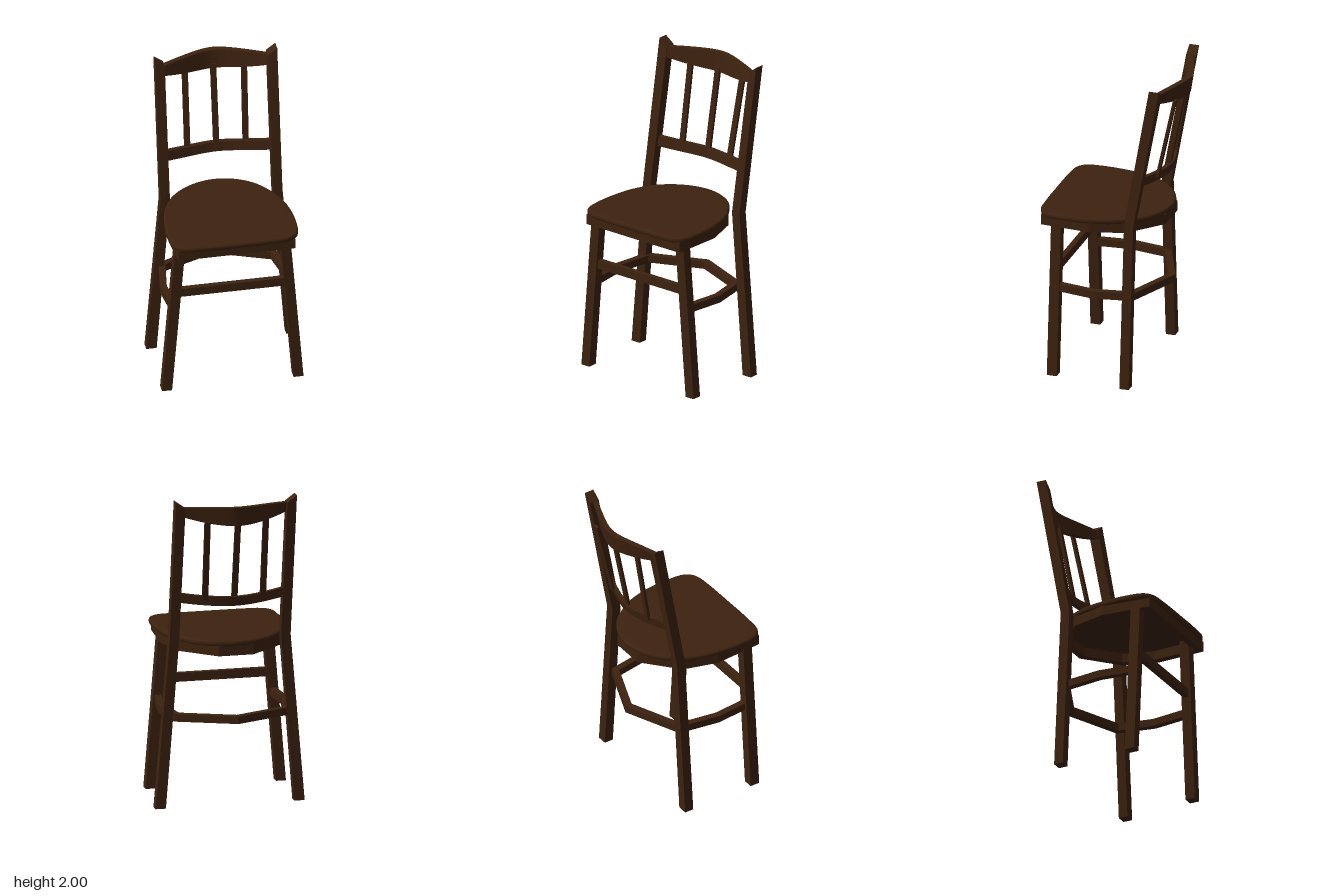
import * as THREE from 'three';
import { toCreasedNormals } from 'three/addons/utils/BufferGeometryUtils.js';

const wood = new THREE.MeshStandardMaterial({ color: 0x3d220f });
wood.name = 'dark wood';

// Solid skin through a list of four-cornered cross-sections, capped at both ends
function loft(rings) {
  const pos = [];
  const quad = (a, b, c, d) => pos.push(...a, ...b, ...c, ...a, ...c, ...d);
  for (let k = 0; k < rings.length - 1; k++) {
    const r = rings[k], s = rings[k + 1];
    for (let i = 0; i < 4; i++) {
      const j = (i + 1) % 4;
      quad(r[i], r[j], s[j], s[i]);
    }
  }
  const first = rings[0], last = rings[rings.length - 1];
  quad(first[3], first[2], first[1], first[0]);
  quad(last[0], last[1], last[2], last[3]);
  const g = new THREE.BufferGeometry();
  g.setAttribute('position', new THREE.Float32BufferAttribute(pos, 3));
  g.computeVertexNormals();
  return toCreasedNormals(g, 0.4);
}

// Horizontal cross-section; slope raises the +x edge and lowers the -x edge
function level(x, y, z, w, d, slope = 0) {
  return [[-1, 1], [1, 1], [1, -1], [-1, -1]].map(([sx, sz]) =>
    [x + sx * w / 2, y + sx * slope, z + sz * d / 2]);
}

// Bowed rail running along x, leaning back towards its top
function bowedRail({ z, bottom, top, thick, lean }) {
  const rings = [], n = 24, end = 0.335;
  for (let i = 0; i <= n; i++) {
    const x = -end + (2 * end * i) / n, u = (x / end) ** 2;
    const zt = z(x), zb = zt + lean, h = thick / 2;
    rings.push([[x, bottom(u), zb + h], [x, bottom(u), zb - h],
      [x, top(u), zt - h], [x, top(u), zt + h]]);
  }
  return loft(rings);
}

// Mitred square bar following a flat path of [x, z] points
function bar(path, y0, y1, width) {
  const pts = path.map(p => new THREE.Vector2(...p));
  const normal = (a, b) => {
    const d = b.clone().sub(a).normalize();
    return new THREE.Vector2(-d.y, d.x);
  };
  return loft(pts.map((p, i) => {
    const n0 = normal(pts[Math.max(i - 1, 0)], pts[Math.max(i, 1)]);
    const last = pts.length - 1;
    const n1 = normal(pts[Math.min(i, last - 1)], pts[Math.min(i + 1, last)]);
    const m = n0.clone().add(n1).normalize();
    m.multiplyScalar(width / 2 / m.dot(n0));
    return [[p.x + m.x, y0, p.y + m.y], [p.x - m.x, y0, p.y - m.y],
      [p.x - m.x, y1, p.y - m.y], [p.x + m.x, y1, p.y + m.y]];
  }));
}

export function createModel() {
  const chair = new THREE.Group();
  chair.name = 'chair';
  const add = (name, geometry) => {
    const mesh = new THREE.Mesh(geometry, wood);
    mesh.name = name;
    chair.add(mesh);
    return mesh;
  };

  // Seat board with rounded edge
  const b = 0.012;
  const outline = [
    [0, 0.447], [0.2, 0.445], [0.32, 0.432], [0.375, 0.385], [0.393, 0.27], [0.387, 0.12],
    [0.357, -0.02], [0.3, -0.135], [0.22, -0.235], [0.11, -0.3], [-0.01, -0.322],
    [-0.13, -0.3], [-0.245, -0.235], [-0.33, -0.14], [-0.385, -0.02], [-0.412, 0.12],
    [-0.42, 0.27], [-0.403, 0.385], [-0.35, 0.432], [-0.23, 0.445],
  ].map(([x, z]) => new THREE.Vector3(x, -z, 0));
  const curve = new THREE.CatmullRomCurve3(outline, true);
  const seatShape = new THREE.Shape(curve.getPoints(80).slice(0, 80).map(p => new THREE.Vector2(p.x, p.y)));
  const seat = new THREE.ExtrudeGeometry(seatShape, {
    depth: 0.035 - 2 * b, bevelEnabled: true, bevelThickness: b, bevelSize: b, bevelOffset: -b, bevelSegments: 3,
  });
  seat.rotateX(-Math.PI / 2).translate(0, 1.045 + b, 0);
  add('seat', toCreasedNormals(seat, 0.6));

  // Faceted apron ring under the seat
  const ring = [
    [0.355, 0.42], [0.375, 0.1], [0.31, -0.12], [0.1, -0.31], [-0.12, -0.31],
    [-0.34, -0.12], [-0.405, 0.1], [-0.385, 0.42],
  ];
  const apronShape = new THREE.Shape(ring.map(([x, z]) => new THREE.Vector2(x, -z)));
  apronShape.holes.push(new THREE.Path(ring.map(([x, z]) =>
    new THREE.Vector2(-0.015 + (x + 0.015) * 0.88, -(0.06 + (z - 0.06) * 0.88)))));
  const apron = new THREE.ExtrudeGeometry(apronShape, { depth: 0.065, bevelEnabled: false });
  add('apron', apron.rotateX(-Math.PI / 2).translate(0, 0.985, 0));

  // Back legs continuing into leaning posts with slanted tops
  for (const s of [-1, 1]) {
    add(s > 0 ? 'leftBackLeg' : 'rightBackLeg', loft([
      level(s * 0.442, 0, -0.165, 0.065, 0.06),
      level(s * 0.355, 1.07, -0.165, 0.06, 0.06),
      level(s * 0.355, 1.978, -0.33, 0.06, 0.064, s * 0.022),
    ]));
  }

  // Splayed front legs
  for (const [name, foot, head] of [['leftFrontLeg', 0.387, 0.302], ['rightFrontLeg', -0.443, -0.358]]) {
    add(name, loft([level(foot, 0, 0.327, 0.063, 0.064), level(head, 1.046, 0.327, 0.063, 0.064)]));
  }

  // Straight front stretcher
  const front = new THREE.BoxGeometry(0.7, 0.055, 0.035);
  add('frontStretcher', front.translate(-0.035, 0.697, 0.327));

  // Bent stretcher running round the sides and back
  add('hoopStretcher', bar([
    [0.335, 0.327], [0.376, 0.07], [0.335, -0.165], [-0.02, -0.31],
    [-0.37, -0.165], [-0.412, 0.09], [-0.39, 0.327],
  ], 0.55, 0.598, 0.042));

  // Curved back rails
  add('topRail', bowedRail({
    z: x => -0.465 + Math.hypot(0.42 * x, 0.035),
    bottom: u => 1.845 + 0.05 * u, top: u => 1.965 - 0.012 * u, thick: 0.036, lean: 0.018,
  }));
  add('lowerRail', bowedRail({
    z: x => -0.357 + Math.hypot(0.36 * x, 0.05),
    bottom: u => 1.303 + 0.02 * u, top: u => 1.363 + 0.022 * u, thick: 0.03, lean: 0.012,
  }));

  // Thin upright slats: bottom x and z, top x and z
  const slats = [[-0.187, -0.279, -0.187, -0.362], [0, -0.3, 0, -0.402], [0.183, -0.287, 0.195, -0.404]];
  slats.forEach(([x0, z0, x1, z1], i) => add('slat' + (i + 1), loft([
    level(x0, 1.345, z0, 0.037, 0.018),
    level(x1, 1.875, z1, 0.037, 0.018),
  ])));

  return chair;
}
